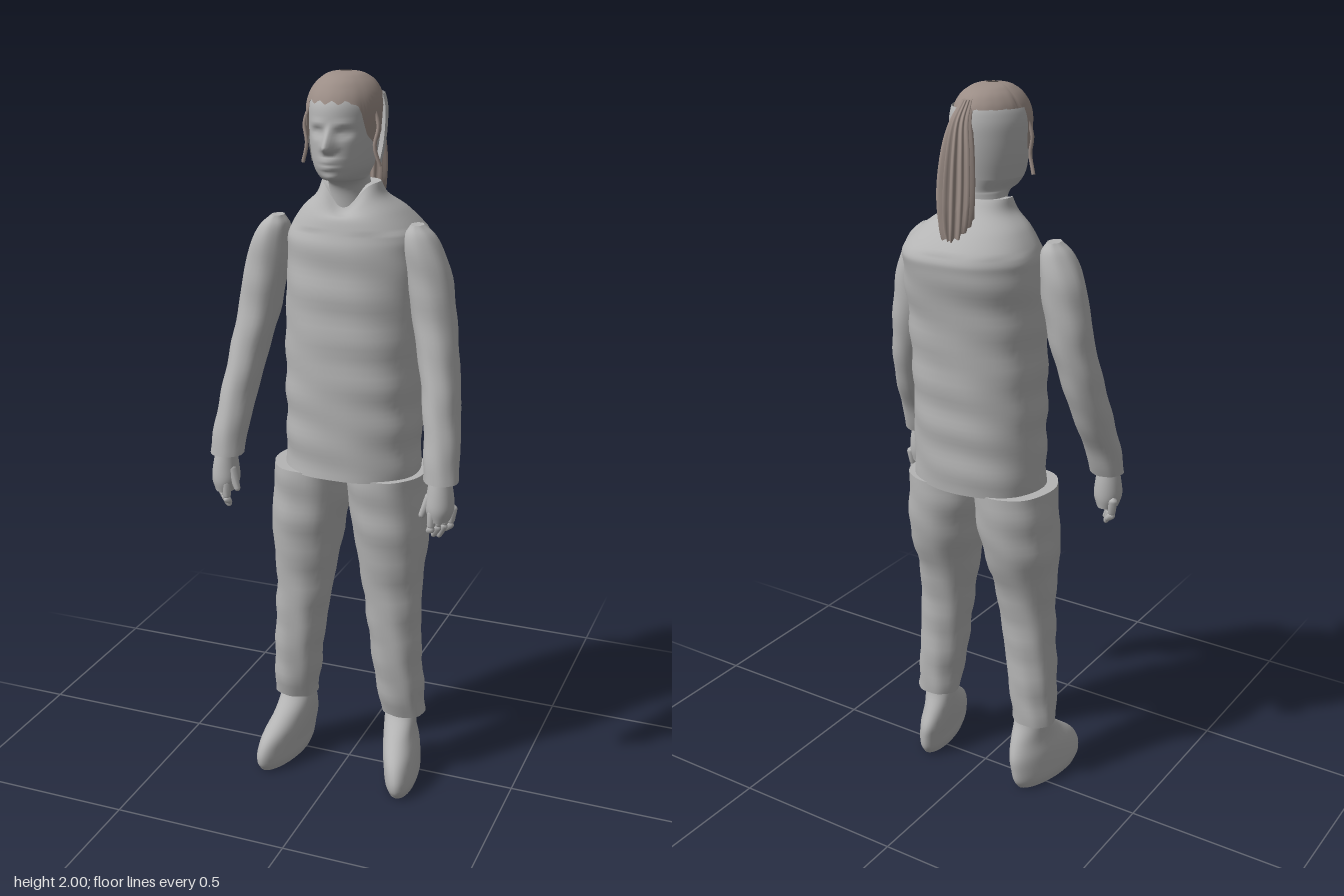
import * as THREE from 'three';

const grey = new THREE.MeshStandardMaterial({ color: 0xb4b4b4, side: THREE.DoubleSide });
grey.name = 'plain grey';
const brown = new THREE.MeshStandardMaterial({ color: 0x9b8d86, side: THREE.DoubleSide });
brown.name = 'hair brown';

const bell = (v, w) => Math.exp(-((v / w) ** 2));
const smooth = THREE.MathUtils.smoothstep;

function makeGeometry(pos, index) {
  const g = new THREE.BufferGeometry();
  g.setAttribute('position', new THREE.Float32BufferAttribute(pos, 3));
  g.setIndex(index);
  g.computeVertexNormals();
  return g;
}

// Point at angle a (0 = front) on an oval section [y, x0, x1, zBack, zFront]
function ovalPoint([y, x0, x1, z0, z1], a, power = 2, gx = 0, gz = 0) {
  const bend = (v) => Math.sign(v) * Math.abs(v) ** (2 / power);
  return new THREE.Vector3(
    (x0 + x1) / 2 + ((x1 - x0) / 2 + gx) * bend(Math.sin(a)), y,
    (z0 + z1) / 2 + ((z1 - z0) / 2 + gz) * bend(Math.cos(a)));
}

// Smooth closed loft through oval sections listed from bottom to top
function loft(rows, { segs = 32, sub = 5, power = 2, warp } = {}) {
  const curve = new THREE.CubicInterpolant(rows.map((_, i) => i), rows.flat(), 5);
  const n = (rows.length - 1) * sub;
  const pos = [], index = [];
  for (let i = 0; i <= n; i++) {
    const section = Array.from(curve.evaluate(i / sub));
    for (let j = 0; j < segs; j++) {
      let a = (j / segs) * Math.PI * 2;
      if (a > Math.PI) a -= Math.PI * 2;
      const p = ovalPoint(section, a, power);
      if (warp) warp(p, a, section);
      pos.push(p.x, p.y, p.z);
      if (i < n) {
        const b = i * segs + j, c = i * segs + (j + 1) % segs;
        index.push(b, c, c + segs, b, c + segs, b + segs);
      }
    }
  }
  // End caps with their own vertices, so that the rims stay crisp
  for (const [ring, up] of [[0, false], [n, true]]) {
    const start = pos.length / 3, mid = [0, 0, 0];
    for (let j = 0; j < segs; j++) {
      const p = pos.slice((ring * segs + j) * 3, (ring * segs + j) * 3 + 3);
      p.forEach((v, k) => { mid[k] += v / segs; });
      pos.push(...p);
      const b = start + j, c = start + (j + 1) % segs;
      index.push(start + segs, up ? b : c, up ? c : b);
    }
    pos.push(...mid);
  }
  return makeGeometry(pos, index);
}

// Open patch lying over the skull between two heights
function skullPatch(rows, a0, a1, low, high, gx, gz, lift) {
  const curve = new THREE.CubicInterpolant(rows.map((r) => r[0]), rows.flat(), 5);
  const U = 72, V = 20, pos = [], index = [];
  for (let i = 0; i <= V; i++) for (let j = 0; j <= U; j++) {
    const a = a0 + (a1 - a0) * j / U;
    const y = high - (high - low(a)) * (i / V) ** 2;
    const p = ovalPoint(Array.from(curve.evaluate(y)), a, 2, gx, gz);
    pos.push(p.x, p.y + lift, p.z);
    if (i < V && j < U) {
      const b = i * (U + 1) + j, c = b + U + 1;
      index.push(b, c, c + 1, b, c + 1, b + 1);
    }
  }
  return makeGeometry(pos, index);
}

const mirrorRows = (rows, s) => (s > 0 ? rows : rows.map(([y, a, b, c, d]) => [y, -b, -a, c, d]));

// Soft cloth creases
function crease(size) {
  return (p, a) => {
    const k = size * (Math.sin(p.y * 31 + 3 * a) * Math.sin(4 * a - p.y * 17) + 0.6 * Math.sin(p.y * 58 + 2 * a));
    p.x += Math.sin(a) * k;
    p.z += Math.cos(a) * k;
  };
}

function taperedRod(from, to, r0, r1) {
  const a = new THREE.Vector3(...from), b = new THREE.Vector3(...to), d = b.clone().sub(a);
  const L = d.length();
  const profile = [[0, -r0], [r0 * 0.8, -r0 * 0.5], [r0, 0], [r1, L - r1], [r1 * 0.7, L - r1 * 0.3], [0, L]];
  const g = new THREE.LatheGeometry(profile.map((q) => new THREE.Vector2(...q)), 10);
  g.applyQuaternion(new THREE.Quaternion().setFromUnitVectors(new THREE.Vector3(0, 1, 0), d.normalize()));
  return g.translate(a.x, a.y, a.z);
}

export function createModel() {
  const model = new THREE.Group();
  const add = (name, geometry, material = grey, parent = model) => {
    const mesh = new THREE.Mesh(geometry, material);
    mesh.name = name;
    parent.add(mesh);
    return mesh;
  };

  // Shirt body with a collar that dips at the throat
  const cloth = crease(0.003);
  add('shirt', loft([
    [0.93, -0.177, 0.2, -0.145, 0.138], [1.06, -0.176, 0.2, -0.15, 0.138], [1.2, -0.175, 0.2, -0.155, 0.138],
    [1.4, -0.175, 0.202, -0.166, 0.133], [1.54, -0.175, 0.205, -0.19, 0.125], [1.59, -0.168, 0.195, -0.194, 0.117],
    [1.645, -0.13, 0.15, -0.145, 0.1], [1.685, -0.085, 0.103, -0.085, 0.083], [1.72, -0.07, 0.086, -0.055, 0.062],
  ], { segs: 56, sub: 8, power: 2.25, warp: (p, a) => {
    if (p.y < 1.6) cloth(p, a);
    p.y -= 0.06 * smooth(p.y, 1.62, 1.72) * bell(a, 0.6);
  } }));

  // Head and neck, with the face shaped by soft bumps
  const skull = [
    [1.77, -0.066, 0.08, -0.055, 0.158], [1.82, -0.076, 0.09, -0.064, 0.162], [1.87, -0.08, 0.094, -0.069, 0.161],
    [1.92, -0.079, 0.093, -0.068, 0.157], [1.955, -0.066, 0.08, -0.056, 0.137], [1.978, -0.044, 0.058, -0.03, 0.11],
    [1.99, -0.02, 0.034, 0.01, 0.075], [1.993, -0.002, 0.016, 0.035, 0.05],
  ];
  add('head', loft([
    [1.62, -0.055, 0.07, -0.05, 0.06], [1.7, -0.048, 0.062, -0.05, 0.07], [1.728, -0.046, 0.06, -0.05, 0.095],
    [1.74, -0.05, 0.064, -0.05, 0.142], ...skull,
  ], { segs: 96, sub: 7, warp: (p, a) => {
    if (Math.abs(a) > 1.2) return;
    const dx = p.x - 0.007, ex = Math.abs(dx) - 0.035;
    const nose = p.y > 1.82 ? 1 - smooth(p.y, 1.815, 1.885) : smooth(p.y, 1.802, 1.82);
    p.z += 0.037 * nose * bell(dx, 0.007 + 0.009 * nose);
    p.z -= 0.013 * bell(ex, 0.018) * bell(p.y - 1.858, 0.011);
    p.z += 0.006 * bell(ex, 0.012) * bell(p.y - 1.857, 0.006);
    p.z += 0.004 * bell(ex, 0.024) * bell(p.y - 1.88, 0.007);
    p.z += bell(dx, 0.026) * (0.009 * bell(p.y - 1.788, 0.006) + 0.008 * bell(p.y - 1.772, 0.006) - 0.005 * bell(p.y - 1.78, 0.003));
    p.z += 0.006 * bell(dx, 0.024) * bell(p.y - 1.745, 0.011);
  } }));

  // Hair over the crown, dipping at the temples
  const hairline = (a) => {
    const d = Math.abs(a);
    return 1.925 - 0.1 * smooth(d, 0.65, 1.25) + 0.11 * smooth(d, 1.6, 1.8) + 0.005 * Math.sin(17 * a);
  };
  add('hair', skullPatch(skull, -Math.PI, Math.PI, hairline, 1.993, 0.008, 0.006, 0.007), brown);

  // Plain band around the back of the head
  add('headBand', skullPatch(skull, 1.6, 2 * Math.PI - 1.6, () => 1.77, 1.945, 0.019, 0.008, 0));

  // Ponytail with strand ridges
  add('ponytail', loft([
    [1.6, -0.008, 0.02, -0.155, -0.1], [1.66, -0.027, 0.046, -0.165, -0.082], [1.75, -0.032, 0.057, -0.16, -0.077],
    [1.85, -0.025, 0.05, -0.147, -0.071], [1.92, -0.01, 0.038, -0.122, -0.06], [1.968, 0.002, 0.028, -0.075, -0.035],
  ], { segs: 72, warp: (p, a, [, x0, x1]) => {
    const ridge = 0.07 * (x1 - x0) * Math.sin(13 * a);
    p.x += Math.sin(a) * ridge;
    p.z += Math.cos(a) * ridge;
    p.y += p.y < 1.7 ? 0.012 * Math.sin(9 * a) : 0;
  } }), brown);

  for (const s of [1, -1]) {
    const side = s > 0 ? 'left' : 'right';
    const X = ([x, y, z]) => [x * s, y, z];

    // Loose strands beside the face
    const strand = new THREE.CatmullRomCurve3([[0.083, 1.92, 0.07], [0.1, 1.87, 0.075], [0.092, 1.82, 0.08], [0.105, 1.77, 0.075]]
      .map(([x, y, z]) => new THREE.Vector3(0.007 + s * x, y, z)));
    add(side + 'Strand', new THREE.TubeGeometry(strand, 14, 0.005, 6), brown);

    // Sleeve
    add(side + 'Arm', loft(mirrorRows([
      [0.972, 0.262, 0.356, 0.088, 0.182], [1.05, 0.255, 0.35, 0.06, 0.166], [1.15, 0.24, 0.338, 0.012, 0.14],
      [1.25, 0.22, 0.325, -0.018, 0.113], [1.35, 0.195, 0.31, -0.035, 0.09], [1.45, 0.175, 0.296, -0.04, 0.08],
      [1.53, 0.163, 0.276, -0.038, 0.077], [1.59, 0.163, 0.244, -0.026, 0.068], [1.62, 0.178, 0.212, -0.005, 0.05],
    ], s), { warp: crease(0.0015) }));

    // Hand with four fingers and a thumb
    const hand = new THREE.Group();
    hand.name = side + 'Hand';
    model.add(hand);
    add('palm', loft(mirrorRows([
      [0.868, 0.283, 0.338, 0.105, 0.18], [0.9, 0.272, 0.348, 0.1, 0.185], [0.94, 0.275, 0.345, 0.102, 0.18],
      [0.99, 0.282, 0.335, 0.11, 0.17],
    ], s)), grey, hand);
    for (let f = 0; f < 4; f++) {
      const k = f / 3, tip = 0.808 + 0.016 * Math.abs(f - 1.3);
      const base = [0.338 - 0.04 * k, 0.892, 0.118 + 0.052 * k];
      const knuckle = [0.333 - 0.038 * k, 0.847, 0.122 + 0.05 * k];
      add('finger', taperedRod(X(base), X(knuckle), 0.013, 0.011), grey, hand);
      add('fingertip', taperedRod(X(knuckle), X([0.316 - 0.032 * k, tip, 0.124 + 0.044 * k]), 0.0115, 0.008), grey, hand);
    }
    add('thumb', taperedRod(X([0.287, 0.93, 0.155]), X([0.264, 0.872, 0.165]), 0.015, 0.009), grey, hand);

    // Trouser leg
    add(side + 'Leg', loft(mirrorRows([
      [0.2, 0.105, 0.23, -0.048, 0.066], [0.3, 0.09, 0.225, -0.052, 0.085], [0.45, 0.07, 0.217, -0.052, 0.095],
      [0.6, 0.047, 0.215, -0.066, 0.1], [0.75, 0.022, 0.225, -0.113, 0.118], [0.85, 0.004, 0.22, -0.126, 0.122],
      [0.935, -0.002, 0.214, -0.13, 0.125],
    ], s), { segs: 40, power: 2.15, warp: crease(0.0025) }).translate(0.005, 0, 0));

    // Shoe, toes turned slightly out
    add(side + 'Shoe', loft(mirrorRows([
      [0, 0.142, 0.225, -0.068, 0.168], [0.025, 0.134, 0.232, -0.084, 0.184], [0.06, 0.13, 0.231, -0.09, 0.184],
      [0.1, 0.124, 0.226, -0.09, 0.162], [0.145, 0.12, 0.216, -0.072, 0.108], [0.19, 0.12, 0.214, -0.05, 0.058],
      [0.225, 0.125, 0.212, -0.042, 0.045],
    ], s), { warp: (p) => { p.x += s * 0.16 * (p.z - 0.04); } }).translate(0.002, 0, 0));
  }
  return model;
}
